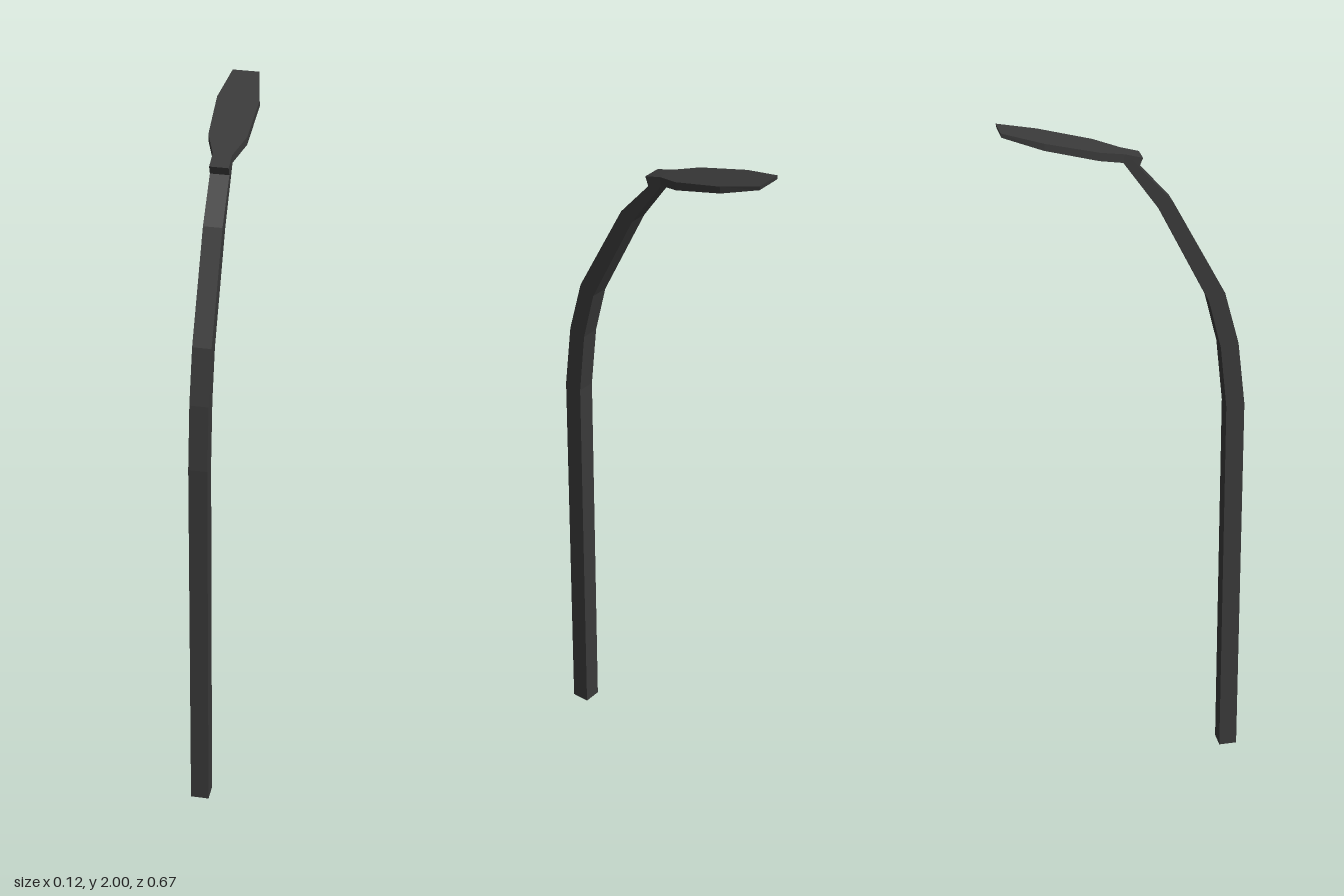
import * as THREE from 'three';

// Loft of four-cornered rings. Each station: [half width, z1, y1, z2, y2],
// where point 1 is the front/top edge and point 2 the back/bottom edge.
// Sides: 0 = front/top, 1 = right, 2 = back/bottom, 3 = left.
function loft(name, stations, color, sides = [0, 1, 2, 3], caps = true) {
  const rings = stations.map(([w, z1, y1, z2, y2]) => [
    [w, y1, z1], [-w, y1, z1], [-w, y2, z2], [w, y2, z2],
  ]);
  const pos = [];
  const quad = (a, b, c, d) => pos.push(...a, ...b, ...c, ...a, ...c, ...d);
  for (let i = 0; i < rings.length - 1; i++) {
    const r = rings[i], n = rings[i + 1];
    for (const j of sides) {
      const k = (j + 1) % 4;
      quad(r[k], r[j], n[j], n[k]);
    }
  }
  if (caps) {
    const end = rings[rings.length - 1];
    quad(...rings[0]);
    quad(end[3], end[2], end[1], end[0]);
  }
  const geometry = new THREE.BufferGeometry();
  geometry.setAttribute('position', new THREE.Float32BufferAttribute(pos, 3));
  geometry.computeVertexNormals();
  const mesh = new THREE.Mesh(geometry, new THREE.MeshStandardMaterial({ color, flatShading: true }));
  mesh.name = name;
  return mesh;
}

export function createModel() {
  const group = new THREE.Group();
  group.name = 'streetLamp';
  const metal = 0x3a3a3a, glow = 0xd0c85a;

  // Square post that bends backwards and thins towards the top
  group.add(loft('pole', [
    [0.026, 0.337, 0, 0.285, 0],
    [0.026, 0.337, 1.14, 0.285, 1.135],
    [0.026, 0.316, 1.33, 0.266, 1.32],
    [0.026, 0.275, 1.485, 0.23, 1.485 - 0.02],
    [0.026, 0.127, 1.765, 0.09, 1.745],
    [0.026, 0.016, 1.892, -0.015, 1.895],
  ], metal));

  // Flat lamp head: neck, widening shoulders, tapered tip
  const head = [
    [0.026, 0.044, 1.897, 0.034, 1.872],
    [0.026, -0.005, 1.911, -0.008, 1.887],
    [0.052, -0.077, 1.931, -0.079, 1.908],
    [0.058, -0.225, 1.97, -0.227, 1.951],
    [0.037, -0.337, 2, -0.335, 1.988],
  ];
  group.add(loft('lampHousing', head, metal, [0, 1, 3]));
  group.add(loft('neckUnderside', head.slice(0, 2), metal, [2], false));

  // Light panel filling the underside of the head
  group.add(loft('lightPanel', head.slice(1), glow, [2], false));

  return group;
}
